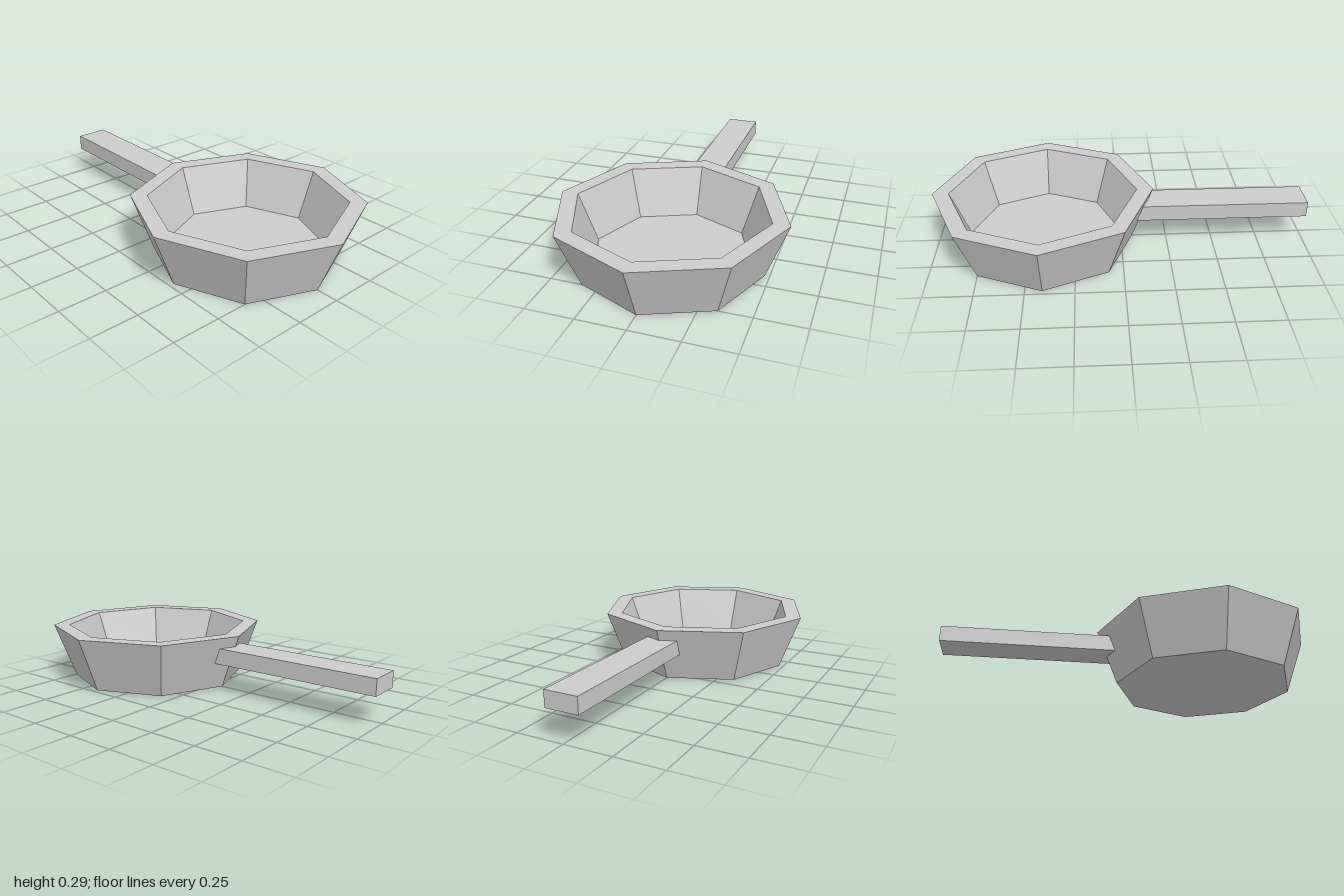
import * as THREE from 'three';

export function createModel() {
  const group = new THREE.Group();
  const material = new THREE.MeshStandardMaterial({ color: 0xcccccc, flatShading: true });

  // Eight-sided pan: underside, flared outer wall, flat rim, inner wall and floor
  const profile = [
    [0, 0], [0.476, 0], [0.587, 0.295], [0.5, 0.295], [0.405, 0.046], [0, 0.046],
  ].map(([r, y]) => new THREE.Vector2(r, y));
  const pan = new THREE.Mesh(new THREE.LatheGeometry(profile, 8), material);
  pan.name = 'pan';
  pan.position.x = 0.413;
  group.add(pan);

  // Straight handle, its inner end buried in the pan wall
  const start = -1, end = -0.078;
  const handle = new THREE.Mesh(new THREE.BoxGeometry(end - start, 0.085, 0.176), material);
  handle.name = 'handle';
  handle.position.set((start + end) / 2, 0.193, 0);
  group.add(handle);

  return group;
}
